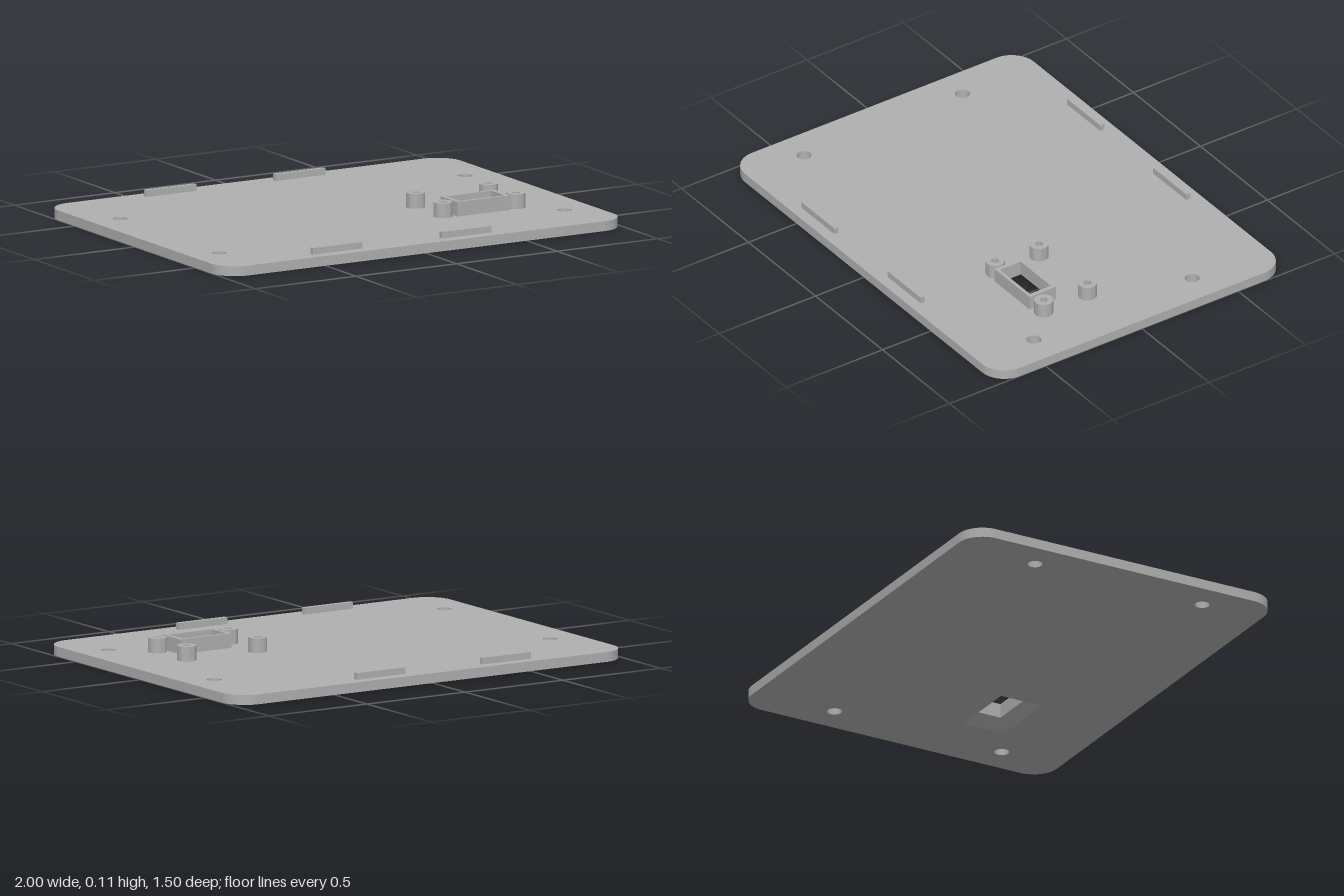
import * as THREE from 'three';
import { toCreasedNormals } from 'three/addons/utils/BufferGeometryUtils.js';

const T = 0.043;    // plate thickness
const TOP = 0.107;  // height of standoffs and rim

// Stack of rectangles [halfX, halfZ, y] joined by flat faces
function rectLoft(profile) {
  const signs = [[1, 1], [1, -1], [-1, -1], [-1, 1]];
  const pos = [];
  const corner = ([hx, hz, y], k) => [signs[k % 4][0] * hx, y, signs[k % 4][1] * hz];
  for (let i = 0; i < profile.length - 1; i++) {
    for (let k = 0; k < 4; k++) {
      const p0 = corner(profile[i], k), p1 = corner(profile[i], k + 1);
      const q0 = corner(profile[i + 1], k), q1 = corner(profile[i + 1], k + 1);
      pos.push(...p0, ...q1, ...p1, ...p0, ...q0, ...q1);
    }
  }
  const geo = new THREE.BufferGeometry();
  geo.setAttribute('position', new THREE.Float32BufferAttribute(pos, 3));
  geo.computeVertexNormals();
  return geo;
}

// Rounded plate outline with screw holes and a rectangular cut-out
function plateGeometry(cx, cz, hx, hz) {
  const w = 1, d = 0.75, r = 0.115;
  const shape = new THREE.Shape();
  shape.moveTo(-w + r, -d);
  shape.lineTo(w - r, -d);
  shape.absarc(w - r, -d + r, r, -Math.PI / 2, 0);
  shape.absarc(w - r, d - r, r, 0, Math.PI / 2);
  shape.absarc(-w + r, d - r, r, Math.PI / 2, Math.PI);
  shape.absarc(-w + r, -d + r, r, Math.PI, Math.PI * 1.5);
  for (const x of [-0.857, 0.857]) {
    for (const z of [-0.36, 0.462]) {
      shape.holes.push(new THREE.Path().absarc(x, -z, 0.032, 0, Math.PI * 2, true));
    }
  }
  shape.holes.push(new THREE.Path([
    [-1, -1], [-1, 1], [1, 1], [1, -1],
  ].map(([a, b]) => new THREE.Vector2(cx + a * hx, -cz + b * hz))));
  const geo = new THREE.ExtrudeGeometry(shape, { depth: T, bevelEnabled: false, curveSegments: 16 });
  geo.rotateX(-Math.PI / 2);
  return toCreasedNormals(geo, 0.6);
}

export function createModel() {
  const model = new THREE.Group();
  model.name = 'mountingPlate';
  const grey = new THREE.MeshStandardMaterial({ color: 0xb0b0b0 });
  grey.name = 'grey';

  const add = (name, geo, x, y, z) => {
    const mesh = new THREE.Mesh(geo, grey);
    mesh.name = name;
    mesh.position.set(x, y, z);
    model.add(mesh);
  };

  // Base plate
  const cx = 0.527, cz = 0.277, hx = 0.16, hz = 0.1;
  add('plate', plateGeometry(cx, cz, hx, hz), 0, 0, 0);

  // Opening that flares towards the underside, with a raised rim above
  const ix = 0.112, iz = 0.054, ox = 0.131, oz = 0.069;
  add('portRim', rectLoft([
    [hx, hz, 0], [ix, iz, T], [ix, iz, TOP], [ox, oz, TOP], [ox, oz, T], [hx, hz, T],
  ]), cx, 0, cz);

  // Hollow standoffs around the opening
  const profile = [[0.041, T], [0.041, TOP], [0.017, TOP], [0.017, T]]
    .map(([r, y]) => new THREE.Vector2(r, y));
  const standoff = toCreasedNormals(new THREE.LatheGeometry(profile, 32), 0.6);
  for (const x of [0.347, 0.709]) {
    for (const z of [0.081, 0.308]) add('standoff', standoff, x, 0, z);
  }

  // Locating tabs along the front and back edges
  const tab = new THREE.BoxGeometry(0.247, 0.03, 0.021);
  for (const x of [-0.411, 0.231]) {
    for (const z of [-0.69, 0.69]) add('edgeTab', tab, x, T + 0.014, z);
  }
  return model;
}
